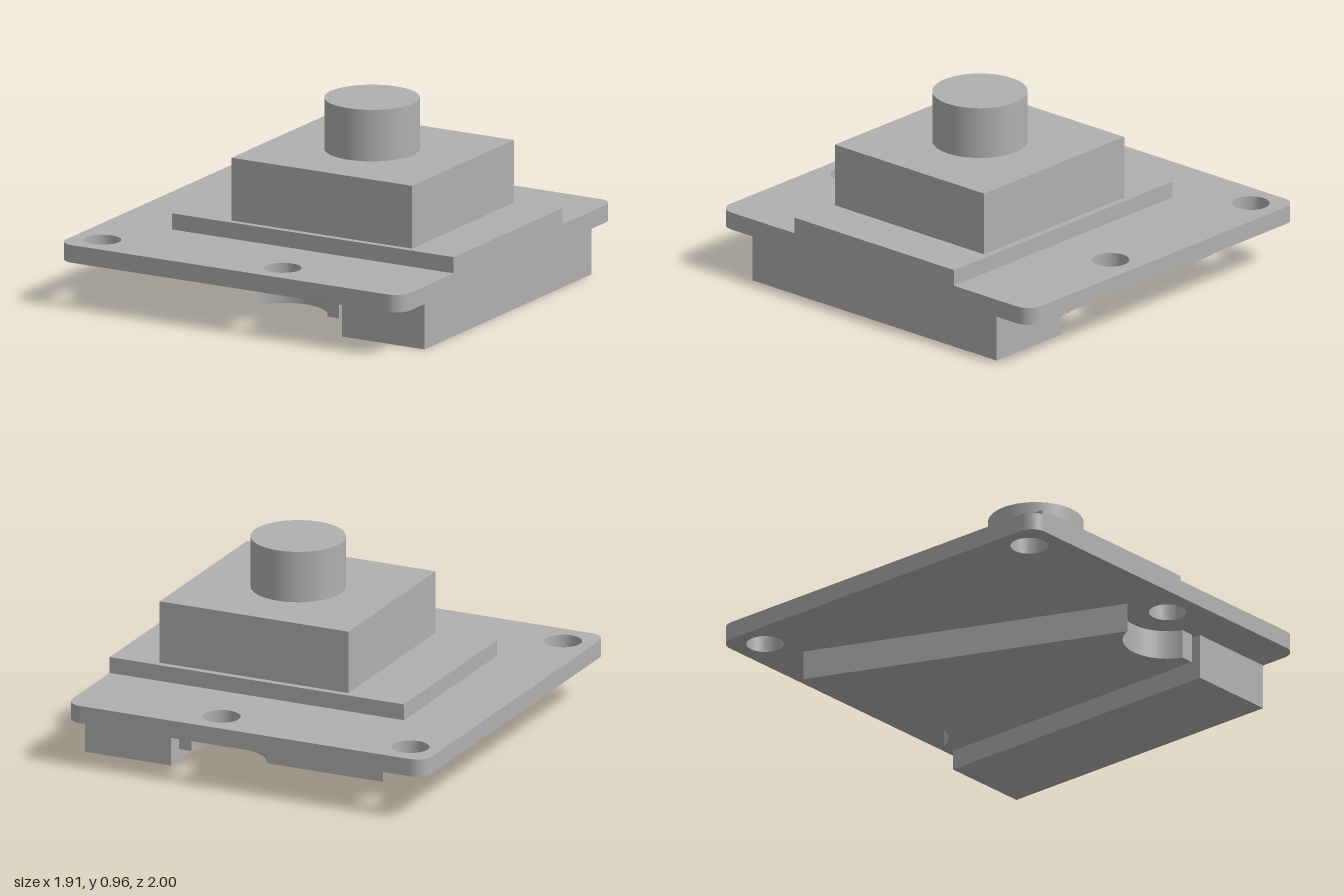
import * as THREE from 'three';

export function createModel() {
  const model = new THREE.Group();
  const grey = new THREE.MeshStandardMaterial({ color: 0xb0b0b0 });
  grey.name = 'grey';

  const add = (name, geometry) => {
    const mesh = new THREE.Mesh(geometry, grey);
    mesh.name = name;
    model.add(mesh);
  };

  // Box given by its limits on x and y and its half depth on z
  const addBox = (name, x0, x1, y0, y1, halfZ) =>
    add(name, new THREE.BoxGeometry(x1 - x0, y1 - y0, halfZ * 2)
      .translate((x0 + x1) / 2, (y0 + y1) / 2, 0));

  // Slab extruded upwards from an outline drawn in x and z
  const addSlab = (name, shape, y0, y1) =>
    add(name, new THREE.ExtrudeGeometry(shape, { depth: y1 - y0, bevelEnabled: false, curveSegments: 24 })
      .rotateX(-Math.PI / 2).translate(0, y0, 0));

  // Board with rounded corners and four mounting holes
  const w = 0.953, d = 1, r = 0.08;
  const board = new THREE.Shape();
  board.absarc(w - r, d - r, r, 0, Math.PI / 2);
  board.absarc(-w + r, d - r, r, Math.PI / 2, Math.PI);
  board.absarc(-w + r, -d + r, r, Math.PI, Math.PI * 1.5);
  board.absarc(w - r, -d + r, r, Math.PI * 1.5, Math.PI * 2);
  board.closePath();
  for (const x of [-0.8, 0.2]) {
    for (const z of [-0.84, 0.84]) {
      board.holes.push(new THREE.Path().absarc(x, z, 0.09, 0, Math.PI * 2, true));
    }
  }
  addSlab('board', board, 0.225, 0.312);

  // Underside block, notched around the two middle holes
  const bz = 0.76, holeZ = 0.84, notchR = 0.215;
  const a = Math.asin((holeZ - bz) / notchR);
  const block = new THREE.Shape();
  block.moveTo(-0.615, -bz);
  block.absarc(0.2, -holeZ, notchR, Math.PI - a, a, true);
  block.lineTo(0.465, -bz);
  block.lineTo(0.465, bz);
  block.absarc(0.2, holeZ, notchR, -a, -Math.PI + a, true);
  block.lineTo(-0.615, bz);
  block.closePath();
  addSlab('undersideBlock', block, 0.08, 0.225);

  // Connector under the board edge
  addBox('connector', 0.495, w, 0, 0.225, 0.785);

  // Sensor base, housing and lens barrel
  addBox('sensorBase', -0.607, w, 0.312, 0.392, 0.512);
  addBox('housing', -0.297, 0.703, 0.392, 0.703, 0.48);
  add('lensBarrel', new THREE.CylinderGeometry(0.228, 0.228, 0.255, 64).translate(0.2, 0.8305, 0));

  return model;
}
